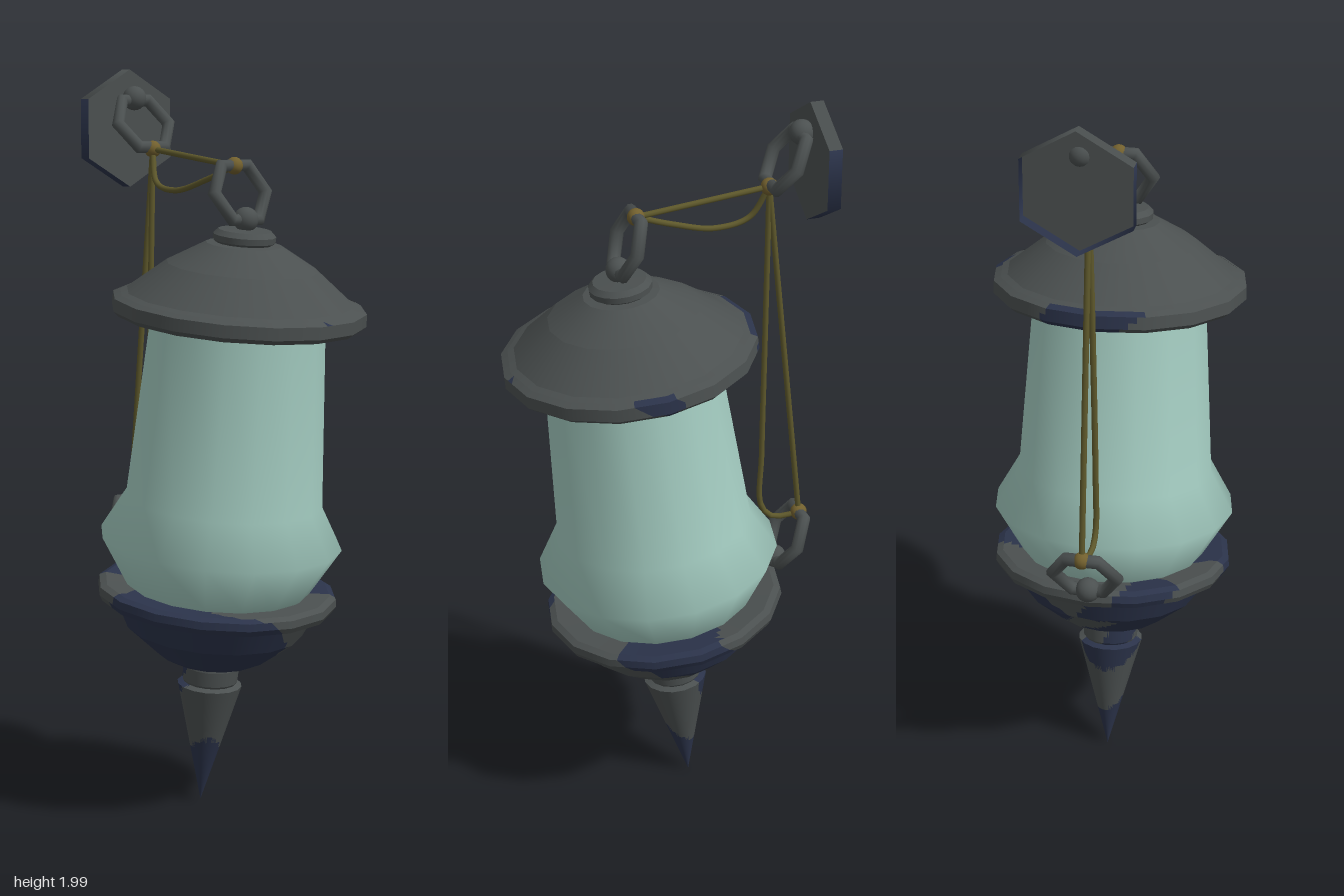
import * as THREE from 'three';

const V = (x, y, z) => new THREE.Vector3(x, y, z);
const SIDES = 16;

function material(name, color, side = THREE.FrontSide) {
  const m = new THREE.MeshStandardMaterial({ color, side });
  m.name = name;
  return m;
}

// Smooth blotch field used to decide where iron is tarnished.
function blotch(x, y, z) {
  return Math.sin(13 * x + 5 * y + 1.1) + Math.sin(15 * z - 9 * y + 0.6) + Math.sin(11 * (x - z) + 21 * y);
}

// Split each profile step, doubling the corners so they stay sharp.
function densify(profile, step) {
  const out = [];
  for (let i = 0; i < profile.length - 1; i++) {
    const a = new THREE.Vector2(...profile[i]), b = new THREE.Vector2(...profile[i + 1]);
    const n = Math.max(1, Math.round(a.distanceTo(b) / step));
    for (let k = 0; k <= n; k++) out.push(a.clone().lerp(b, k / n));
  }
  return out;
}

// Sixteen-sided turned part; cells whose blotch value exceeds the bias are tarnished.
function turned(name, profile, mats, bias) {
  const geo = new THREE.LatheGeometry(densify(profile, 0.02), SIDES * 6);
  const p = geo.attributes.position;
  const wedge = (Math.PI * 2) / SIDES;
  for (let i = 0; i < p.count; i++) {
    const t = Math.atan2(p.getX(i), p.getZ(i)) + Math.PI * 2;
    const f = Math.cos(wedge / 2) / Math.cos((t % wedge) - wedge / 2);
    p.setX(i, p.getX(i) * f);
    p.setZ(i, p.getZ(i) * f);
  }
  const src = geo.index.array, clean = [], stained = [];
  for (let i = 0; i < src.length; i += 3) {
    const c = V(0, 0, 0);
    for (let k = 0; k < 3; k++) c.add(V(0, 0, 0).fromBufferAttribute(p, src[i + k]));
    c.divideScalar(3);
    (blotch(c.x, c.y, c.z) > bias ? stained : clean).push(src[i], src[i + 1], src[i + 2]);
  }
  geo.setIndex(clean.concat(stained));
  geo.clearGroups();
  geo.addGroup(0, clean.length, 0);
  geo.addGroup(clean.length, stained.length, 1);
  const mesh = new THREE.Mesh(geo, mats);
  mesh.name = name;
  return mesh;
}

export function createModel() {
  const root = new THREE.Group();
  root.name = 'hangingLantern';
  const iron = material('iron', 0x4b5050, THREE.DoubleSide);
  const tarnish = material('tarnishedIron', 0x2b334a, THREE.DoubleSide);
  const glass = material('paleGlass', 0xa2cabf, THREE.DoubleSide);
  const rope = material('rope', 0x5e582b);
  const knotMat = material('knot', 0x72602e);
  const metals = [iron, tarnish];

  const add = (parent, name, geo, mat) => {
    const mesh = new THREE.Mesh(geo, mat);
    mesh.name = name;
    parent.add(mesh);
    return mesh;
  };

  // Lantern body, leaning forward about its bottom tip
  const body = new THREE.Group();
  body.name = 'lanternBody';
  body.position.set(0, 0.01, -0.077);
  body.rotation.x = THREE.MathUtils.degToRad(7);
  root.add(body);

  body.add(turned('spike', [[0, 0], [0.088, 0.338], [0.07, 0.345]], metals, 0.35));
  body.add(turned('neck', [[0.066, 0.335], [0.075, 0.35], [0.077, 0.39], [0.07, 0.42]], metals, 1.6));
  body.add(turned('bowl', [[0, 0.408], [0.12, 0.41], [0.15, 0.425], [0.24, 0.5], [0.275, 0.575]], metals, -0.9));
  body.add(turned('bowlRim',
    [[0.265, 0.572], [0.315, 0.576], [0.324, 0.592], [0.322, 0.612], [0.305, 0.62], [0.22, 0.614]], metals, 0.4));
  body.add(turned('cap',
    [[0.2, 1.347], [0.322, 1.347], [0.337, 1.36], [0.336, 1.393], [0.318, 1.402]], metals, 0.9));
  body.add(turned('dome', [[0.32, 1.4], [0.3, 1.408], [0.2, 1.49], [0.1, 1.548], [0, 1.555]], metals, 9));
  body.add(turned('collar', [[0.06, 1.54], [0.082, 1.556], [0.083, 1.572], [0.07, 1.585], [0, 1.588]], metals, 9));

  const glassProfile = [[0.235, 0.61], [0.25, 0.622], [0.326, 0.75], [0.264, 0.862], [0.231, 1.35]];
  add(body, 'glassShade',
    new THREE.LatheGeometry(glassProfile.map((q) => new THREE.Vector2(...q)), SIDES), glass);

  // Hexagonal wall plate: open-backed shell with a front face
  const plateZ = -0.427, plateDepth = 0.036, plateR = 0.16;
  const edge = new THREE.CylinderGeometry(plateR, plateR, plateDepth, 6, 1, true);
  edge.clearGroups();
  edge.addGroup(0, 12, 1);
  edge.addGroup(12, 12, 0);
  edge.addGroup(24, 12, 1);
  const edgeMesh = add(root, 'wallPlateEdge', edge, metals);
  edgeMesh.rotation.x = Math.PI / 2;
  edgeMesh.position.set(0, 1.84, plateZ + plateDepth / 2);
  add(root, 'wallPlateFace', new THREE.CircleGeometry(plateR, 6, Math.PI / 2), iron)
    .position.set(0, 1.84, plateZ + plateDepth);

  // Six-sided rings, each with an iron ball at one end and a rope knot at the other
  const capKnot = V(0, 1.748, 0.071), wallKnot = V(0, 1.785, -0.286), bowlKnot = V(0, 0.808, -0.394);
  const rings = [
    ['cap', V(0, 1.61, 0.119), capKnot],
    ['wall', V(0, 1.922, -0.37), wallKnot],
    ['bowl', V(0, 0.677, -0.325), bowlKnot],
  ];
  for (const [label, ball, knot] of rings) {
    const d = knot.clone().sub(ball);
    const ring = add(root, label + 'Ring', new THREE.TorusGeometry(0.085, 0.018, 10, 6), iron);
    ring.position.copy(ball).lerp(knot, 0.5);
    ring.rotation.x = Math.atan2(d.z, d.y);
    add(root, label + 'Ball', new THREE.SphereGeometry(0.033, 16, 12), iron).position.copy(ball);
    add(root, label + 'Knot', new THREE.SphereGeometry(0.023, 14, 10), knotMat).position.copy(knot);
  }

  // Ropes: a taut and a slack strand between each pair of knots
  const strands = [
    ['tautTopRope', [capKnot, wallKnot]],
    ['slackTopRope', [capKnot, V(-0.012, 1.71, -0.03), V(-0.025, 1.678, -0.15), V(-0.022, 1.697, -0.24), wallKnot]],
    ['tautBackRope', [wallKnot, bowlKnot]],
    ['slackBackRope', [wallKnot, V(-0.008, 1.4, -0.287), V(-0.014, 1, -0.287), V(-0.014, 0.84, -0.288),
      V(-0.012, 0.802, -0.318), V(-0.008, 0.798, -0.35), bowlKnot]],
  ];
  for (const [name, pts] of strands) {
    const path = pts.length === 2 ? new THREE.LineCurve3(...pts) : new THREE.CatmullRomCurve3(pts);
    add(root, name, new THREE.TubeGeometry(path, pts.length === 2 ? 1 : 40, 0.008, 8), rope);
  }
  return root;
}
